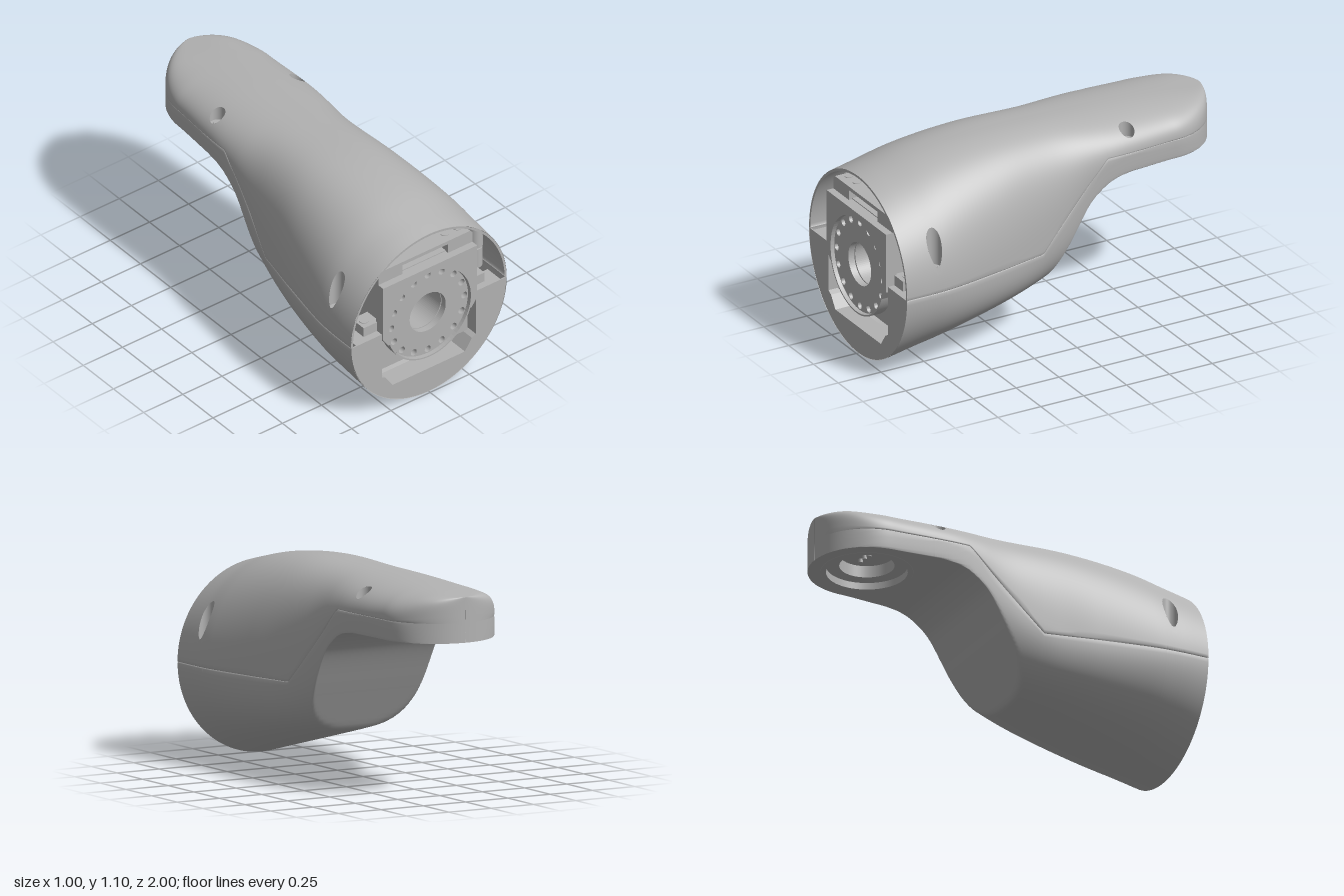
import * as THREE from 'three';

const grey = new THREE.MeshStandardMaterial({ color: 0xb2b2b2, side: THREE.DoubleSide });
grey.name = 'grey';

// Smooth curve through [z, value] points listed with z falling
function curve(pts) {
  const slope = (i) => {
    const a = pts[Math.max(i - 1, 0)], b = pts[Math.min(i + 1, pts.length - 1)];
    return (b[1] - a[1]) / (b[0] - a[0]);
  };
  return (z) => {
    let i = 0;
    while (i < pts.length - 2 && z < pts[i + 1][0]) i++;
    const [z0, v0] = pts[i], [z1, v1] = pts[i + 1], d = z1 - z0;
    const t = (z - z0) / d, t2 = t * t, t3 = t2 * t;
    return v0 * (2 * t3 - 3 * t2 + 1) + v1 * (3 * t2 - 2 * t3) +
      d * (slope(i) * (t3 - 2 * t2 + t) + slope(i + 1) * (t3 - t2));
  };
}

// Shell rules along z
const FRONT = 0.989;
const top = curve([[1, 0.995], [0.9, 1.02], [0.7, 1.065], [0.5, 1.09], [0.3, 1.1], [0, 1.095], [-0.2, 1.09], [-0.5, 1.082], [-0.8, 1.067], [-1, 1.05]]);
const centre = curve([[1, 0.5], [0.5, 0.5], [0.2, 0.54], [0, 0.64], [-0.2, 0.82], [-0.4, 0.9], [-1, 0.92]]);
const sideWidth = curve([[1, 0.497], [0.85, 0.497], [0.7, 0.487], [0.4, 0.433], [0.2, 0.39], [0, 0.354], [-0.15, 0.335], [-0.35, 0.328], [-0.5, 0.32], [-0.7, 0.306], [-1, 0.3]]);
const cutCurve = curve([[0.08, 0.24], [-0.05, 0.475], [-0.15, 0.655], [-0.2, 0.72], [-0.3, 0.79], [-0.4, 0.814], [-0.5, 0.817], [-1, 0.817]]);
const cut = (z) => (z > 0.08 ? 0.24 - (z - 0.08) * 1.85 : cutCurve(z));
const bottom = (z) => 0.003 + 0.258 * (FRONT - z);
const power = curve([[1, 2], [0.8, 2.05], [0.4, 2.4], [0.2, 2.6], [0, 2.6], [-0.2, 2.45], [-0.4, 2.25], [-0.7, 2.4], [-0.85, 3], [-1, 5.5]]);
const seam = (z) => 0.5 + 0.42 * THREE.MathUtils.clamp((0.12 - z) / 0.4, 0, 1);
const width = (z) => sideWidth(z) * (z < -0.7 ? Math.sqrt(Math.max(1 - ((z + 0.7) / 0.3) ** 2, 0.00001)) : 1);
const surfaceY = (x, z) => centre(z) +
  (top(z) - centre(z)) * Math.max(0, 1 - (Math.abs(x) / width(z)) ** power(z)) ** (1 / power(z));

// Screw pockets: x, z, floor height
const POCKET = 0.04;
const pockets = [[0.44, 0.8, 0.62], [-0.44, 0.8, 0.62], [0.255, -0.43, 0.965], [-0.255, -0.43, 0.965]];

function stations() {
  const s = [];
  for (let i = 0; i <= 130; i++) s.push(FRONT + (-0.7 - FRONT) * i / 130);
  for (let i = 1; i <= 28; i++) s.push(-0.7 - 0.3 * Math.sin(i / 28 * Math.PI / 2));
  for (const c of [0.8, -0.43]) for (let d = -0.0482; d < 0.05; d += 0.004) s.push(c + d);
  return s.sort((a, b) => b - a);
}

// Loft either half of the shell, split along the seam
function shellHalf(isUpper, steps) {
  const zs = stations(), pos = [], idx = [], row = steps + 3;
  for (const z of zs) {
    const c = centre(z), w = width(z), n = power(z), up = top(z) - c, down = c - bottom(z);
    const ds = seam(z) - c;
    const t0 = Math.sign(ds) * Math.asin(Math.min(1, Math.abs(ds / (ds > 0 ? up : down)) ** (n / 2)));
    const t1 = isUpper ? Math.PI - t0 : -Math.PI - t0;
    for (let j = 0; j < row; j++) {
      const edge = j === 0 || j === row - 1;
      const f = edge ? (j ? 1 : 0) : 0.003 + 0.994 * (j - 1) / steps;
      const t = t0 + (t1 - t0) * f, cs = Math.cos(t), sn = Math.sin(t);
      let x = w * Math.sign(cs) * Math.abs(cs) ** (2 / n) * (edge ? 0.988 : 1);
      let y = c + (sn > 0 ? up : down) * Math.sign(sn) * Math.abs(sn) ** (2 / n);
      let zz = z;
      if (isUpper) {
        // Draw nearby points onto the pocket rims
        for (const [px, pz] of pockets) {
          const r = Math.hypot(x - px, z - pz);
          if (Math.abs(r - POCKET) < 0.005) {
            x = px + (x - px) * POCKET / r;
            zz = pz + (z - pz) * POCKET / r;
            y = surfaceY(x, zz);
            break;
          }
        }
      } else {
        const k = 0.018, h = Math.max(k - Math.abs(y - cut(z)), 0) / k;
        y = Math.max(y, cut(z)) + h * h * k / 4;
      }
      pos.push(x, y, zz);
    }
  }
  // Leave the screw pockets and the joint opening free
  const near = (k, x, z, r) => Math.hypot(pos[3 * k] - x, pos[3 * k + 2] - z) < r;
  const isOpen = (tri) => (isUpper
    ? pockets.some(([x, z]) => tri.every((k) => near(k, x, z, POCKET + 0.0003)))
    : tri.every((k) => near(k, 0, -0.7, 0.222) && pos[3 * k + 1] < 0.86));
  for (let i = 0; i < zs.length - 1; i++) for (let j = 0; j < row - 1; j++) {
    const a = i * row + j, b = a + 1, c = a + row, d = c + 1;
    for (const [p, q, r] of [[a, c, b], [b, c, d]]) {
      if (!isOpen([p, q, r])) idx.push(...(isUpper ? [p, q, r] : [p, r, q]));
    }
  }
  const g = new THREE.BufferGeometry();
  g.setAttribute('position', new THREE.Float32BufferAttribute(pos, 3));
  g.setIndex(idx);
  g.computeVertexNormals();
  return g;
}

// Pocket wall whose upper edge follows the shell
function pocketWall(px, pz, floor) {
  const g = new THREE.CylinderGeometry(POCKET, POCKET, 1, 48, 1, true);
  const p = g.attributes.position;
  for (let i = 0; i < p.count; i++) {
    p.setY(i, p.getY(i) > 0 ? Math.max(floor, surfaceY(px + p.getX(i), pz + p.getZ(i))) : floor);
  }
  return g;
}

function polygon(points) {
  return new THREE.Shape(points.map(([x, y]) => new THREE.Vector2(x, y)));
}

function circleHole(shape, x, y, r) {
  const p = new THREE.Path();
  p.absarc(x, y, r, 0, Math.PI * 2, true);
  shape.holes.push(p);
}

// Lower semicircle with a chamfered U opening
function frontPlateShape(r) {
  const s = polygon([[-r, 0.5], [-0.3, 0.5], [-0.3, 0.23], [-0.275, 0.215], [-0.23, 0.15], [0.23, 0.15], [0.275, 0.215], [0.3, 0.23], [0.3, 0.5], [r, 0.5]]);
  s.absarc(0, 0.5, r, 0, -Math.PI, true);
  return s;
}

export function createModel() {
  const model = new THREE.Group();
  model.name = 'jointedArmCover';
  const add = (name, geo, x = 0, y = 0, z = 0) => {
    const m = new THREE.Mesh(geo, grey);
    m.name = name;
    m.position.set(x, y, z);
    model.add(m);
    return m;
  };
  const box = (name, x0, x1, y0, y1, z0, z1) =>
    add(name, new THREE.BoxGeometry(x1 - x0, y1 - y0, z1 - z0), (x0 + x1) / 2, (y0 + y1) / 2, (z0 + z1) / 2);
  const extrude = (name, shape, z0, z1) =>
    add(name, new THREE.ExtrudeGeometry(shape, { depth: z1 - z0, bevelEnabled: false, curveSegments: 40 }), 0, 0, z0);
  const cylinder = (name, r, h, x, y, z) => add(name, new THREE.CylinderGeometry(r, r, h, 32), x, y, z);

  // Outer shells and front rim
  add('upperShell', shellHalf(true, 120));
  add('lowerShell', shellHalf(false, 72));
  add('upperRim', new THREE.RingGeometry(0.484, 0.496, 64, 1, 0, Math.PI), 0, 0.5, FRONT);
  extrude('frontPlate', frontPlateShape(0.494), FRONT - 0.006, FRONT);
  extrude('frontPlateBacking', frontPlateShape(0.46), FRONT - 0.11, FRONT - 0.006);

  // Screw pockets
  for (const [x, z, floor] of pockets) {
    add('pocketWall', pocketWall(x, z, floor), x, 0, z);
    add('pocketFloor', new THREE.CircleGeometry(POCKET, 48), x, floor, z).rotation.x = -Math.PI / 2;
    cylinder('pocketScrew', 0.019, 0.012, x, floor + 0.006, z);
  }

  // Motor: face frame, bolted output disc and body
  const frame = polygon([[-0.265, 0.42], [-0.3, 0.47], [-0.3, 0.795], [0.3, 0.795], [0.3, 0.47], [0.265, 0.42]]);
  frame.absarc(0, 0.5, 0.268, -0.3, -Math.PI + 0.3, true);
  circleHole(frame, 0, 0.5, 0.26);
  extrude('motorFaceFrame', frame, 0.94, 1);

  const disc = new THREE.Shape();
  disc.absarc(0, 0.5, 0.257, 0, Math.PI * 2);
  circleHole(disc, 0, 0.5, 0.115);
  for (let i = 0; i < 16; i++) {
    const a = i * Math.PI / 8;
    circleHole(disc, 0.233 * Math.cos(a), 0.5 + 0.233 * Math.sin(a), 0.019);
  }
  extrude('outputDisc', disc, 0.945, 0.98);

  const body = polygon([[-0.285, 0.235], [0.285, 0.235], [0.285, 0.8], [-0.285, 0.8]]);
  circleHole(body, 0, 0.5, 0.115);
  extrude('motorBody', body, 0.5, 0.94);
  box('motorBackPlate', -0.28, 0.28, 0.26, 0.8, 0.47, 0.5);
  box('motorFoot', -0.12, 0.12, 0.215, 0.235, 0.7, 0.9);

  // Bracket above the motor, notched at the front
  extrude('bracketFront', polygon([[-0.3, 0.795], [-0.145, 0.795], [-0.145, 0.85], [0.145, 0.85], [0.145, 0.795], [0.3, 0.795], [0.3, 0.855], [0.285, 0.87], [-0.285, 0.87], [-0.3, 0.855]]), 0.85, 0.96);
  box('bracketRear', -0.3, 0.3, 0.8, 0.87, 0.5, 0.85);
  box('upperBlock', -0.29, 0.29, 0.87, 0.91, 0.45, 0.75);
  cylinder('upperRing', 0.225, 0.055, 0, 0.9375, 0.5);
  cylinder('upperCap', 0.12, 0.025, 0, 0.977, 0.5);

  for (const s of [-1, 1]) {
    for (const x of [0.17, 0.25]) cylinder('bracketScrew', 0.022, 0.004, s * x, 0.871, 0.9);
    // Mounting ears, pocket bosses and slanted side ribs
    box('mountingEar', s > 0 ? 0.285 : -0.385, s > 0 ? 0.385 : -0.285, 0.5, 0.555, 0.85, 0.95);
    cylinder('earScrew', 0.025, 0.006, s * 0.345, 0.556, 0.9);
    cylinder('screwBoss', 0.045, 0.115, s * 0.432, 0.56, 0.8);
    extrude('sideRib', polygon([[s * 0.285, 0.88], [s * 0.31, 0.88], [s * 0.375, 0.5], [s * 0.345, 0.5]]), 0.38, 0.62);
  }

  // Stepped joint recess under the rear end, one band per edge to keep it crisp
  const profile = [[0.236, 0.8175], [0.234, 0.8155], [0.207, 0.8155], [0.207, 0.852], [0.14, 0.852], [0.14, 0.915], [0, 0.915]];
  for (let i = 0; i < profile.length - 1; i++) {
    const band = [profile[i], profile[i + 1]].map(([x, y]) => new THREE.Vector2(x, y));
    add('jointRecess', new THREE.LatheGeometry(band, 56), 0, 0, -0.7);
  }
  for (let i = 0; i < 4; i++) cylinder('contactPin', 0.012, 0.02, -0.066 + i * 0.044, 0.905, -0.7);

  return model;
}
